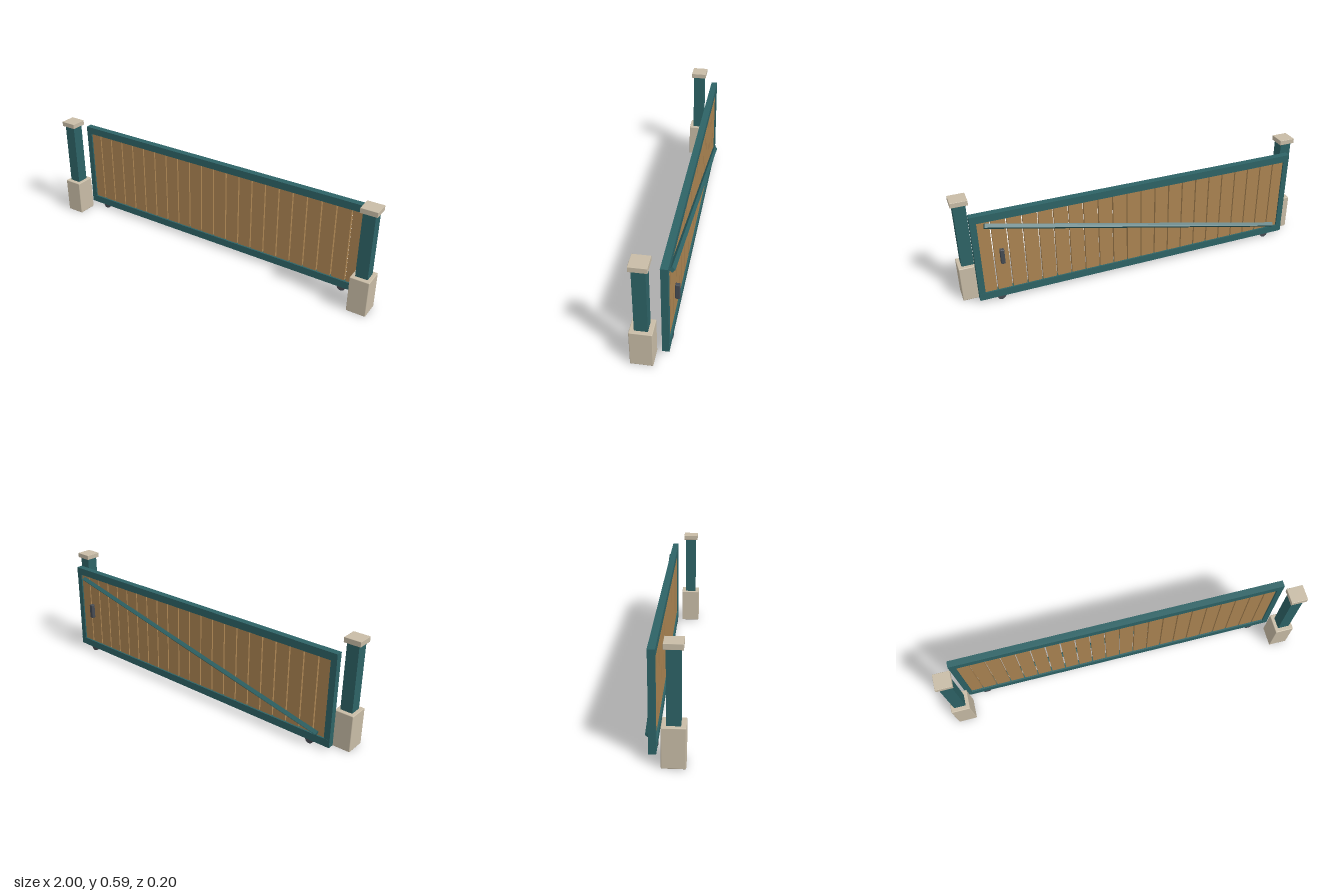
import * as THREE from 'three';
import { RoundedBoxGeometry } from 'three/addons/geometries/RoundedBoxGeometry.js';

const material = (name, color) => Object.assign(new THREE.MeshStandardMaterial({ color }), { name });

export function createModel() {
  const teal = material('teal paint', 0x2d6366);
  const stone = material('pale stone', 0xc8bca6);
  const wood = material('warm wood', 0xab8452);
  const metal = material('dark metal', 0x464b53);

  const model = new THREE.Group();
  model.name = 'slidingGate';

  const add = (parent, name, geometry, mat, x, y, z) => {
    const mesh = new THREE.Mesh(geometry, mat);
    mesh.name = name;
    mesh.position.set(x, y, z);
    parent.add(mesh);
    return mesh;
  };
  const box = (w, h, d) => new THREE.BoxGeometry(w, h, d);
  const softBox = (w, h, d, r) => new RoundedBoxGeometry(w, h, d, 2, r);

  // Gate posts: stone footing, painted shaft and stone cap
  for (const side of [-1, 1]) {
    const post = new THREE.Group();
    post.name = side > 0 ? 'leftPost' : 'rightPost';
    post.position.set(side * 0.948, 0, 0.047);
    add(post, 'footing', softBox(0.104, 0.203, 0.112, 0.004), stone, 0, 0.1015, 0);
    add(post, 'shaft', box(0.065, 0.37, 0.065), teal, 0, 0.383, 0);
    add(post, 'cap', softBox(0.09, 0.028, 0.088, 0.002), stone, 0, 0.577, 0);
    model.add(post);
  }

  // Sliding leaf
  const leaf = new THREE.Group();
  leaf.name = 'gateLeaf';
  leaf.position.z = -0.0535;
  model.add(leaf);

  // Frame rails and stiles
  add(leaf, 'topRail', box(1.84, 0.041, 0.036), teal, 0, 0.5125, 0);
  add(leaf, 'bottomRail', box(1.84, 0.042, 0.036), teal, 0, 0.043, 0);
  for (const side of [-1, 1]) {
    add(leaf, side > 0 ? 'leftStile' : 'rightStile', box(0.033, 0.45, 0.034), teal, side * 0.9035, 0.278, 0);
  }

  // Upright slats with narrow gaps
  const count = 22, pitch = 0.0819;
  const slat = box(pitch - 0.007, 0.436, 0.018);
  for (let i = 0; i < count; i++) {
    add(leaf, 'slat', slat, wood, (i - (count - 1) / 2) * pitch, 0.278, 0);
  }

  // Diagonal brace: square bar turned on its edge
  const low = new THREE.Vector3(-0.851, 0.081, -0.0233);
  const high = new THREE.Vector3(0.851, 0.475, -0.0233);
  const along = high.clone().sub(low);
  const bar = new THREE.CylinderGeometry(0.0152, 0.0152, along.length(), 4).toNonIndexed();
  bar.computeVertexNormals();
  const brace = add(leaf, 'diagonalBrace', bar, teal, 0, 0.278, -0.0233);
  brace.rotation.z = Math.atan2(along.y, along.x) - Math.PI / 2;

  // Pull handle on the back
  add(leaf, 'handle', softBox(0.022, 0.084, 0.023, 0.003), metal, 0.78, 0.285, -0.037);

  // Rollers under the bottom rail
  const roller = new THREE.CylinderGeometry(0.023, 0.023, 0.035, 14).rotateX(Math.PI / 2);
  for (const side of [-1, 1]) {
    add(leaf, side > 0 ? 'leftRoller' : 'rightRoller', roller, metal, side * 0.805, 0.024, 0);
  }

  return model;
}
